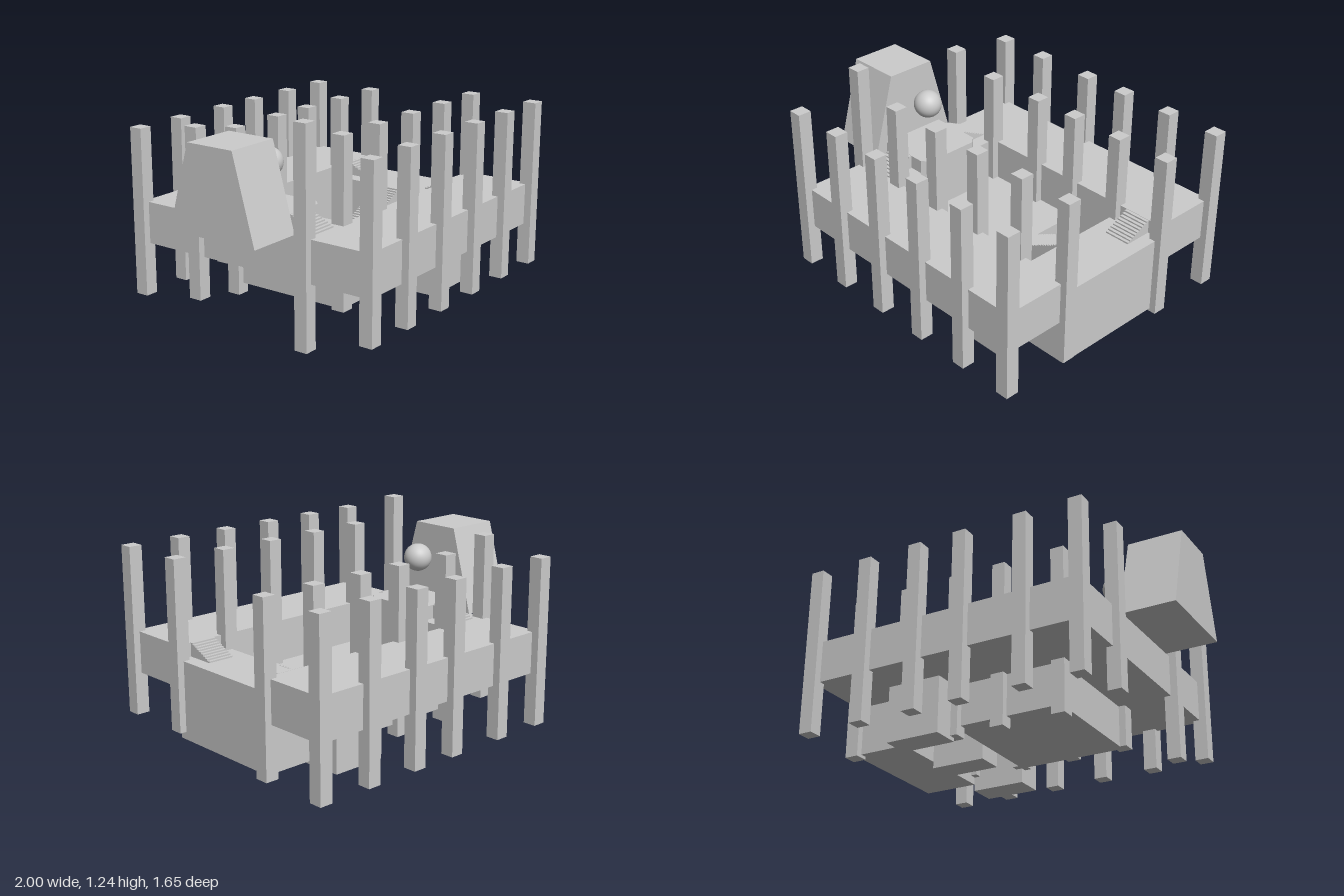
import * as THREE from 'three';

const material = new THREE.MeshStandardMaterial({ color: 0xcccccc });

export function createModel() {
  const model = new THREE.Group();

  const add = (name, geometry, parent = model) => {
    const mesh = new THREE.Mesh(geometry, material);
    mesh.name = name;
    parent.add(mesh);
    return mesh;
  };

  // Box given by its extents along each axis
  const block = (name, x0, x1, y0, y1, z0, z1, parent) =>
    add(name, new THREE.BoxGeometry(x1 - x0, y1 - y0, z1 - z0), parent)
      .position.set((x0 + x1) / 2, (y0 + y1) / 2, (z0 + z1) / 2);

  // Solid stair rising along local +x from y = low to y = high, centred across z
  const stairGeometry = (run, low, high, base, steps, width) => {
    const shape = new THREE.Shape();
    shape.moveTo(0, base);
    for (let i = 0; i < steps; i++) {
      const y = low + (high - low) * (i + 1) / steps;
      shape.lineTo(run * i / steps, y);
      shape.lineTo(run * (i + 1) / steps, y);
    }
    shape.lineTo(run, base);
    return new THREE.ExtrudeGeometry(shape, { depth: width, bevelEnabled: false })
      .translate(0, 0, -width / 2);
  };

  // Raised side decks
  block('frontDeck', -0.69, 0.957, 0.375, 0.62, 0.37, 0.78);
  block('backDeck', -0.69, 0.957, 0.375, 0.62, -0.785, -0.375);

  // Floors between the decks
  block('rightEndFloor', -0.69, -0.365, 0.375, 0.62, -0.375, 0.37);
  block('sunkenFloor', -0.365, 0.295, 0.13, 0.375, -0.375, 0.37);
  block('leftEndFloor', 0.625, 0.957, 0.085, 0.54, -0.375, 0.37);

  // Supports below the decks beside the open pits
  block('frontSupport', 0.297, 0.625, 0.045, 0.376, 0.37, 0.54);
  block('backSupport', 0.297, 0.625, 0.045, 0.376, -0.54, -0.375);

  // Stepped bridge between the pits
  add('bridgeStairs', stairGeometry(0.33, 0.375, 0.54, 0.045, 18, 0.16))
    .position.set(0.295, 0, 0);

  // Dais with two chamfered corners
  const dais = new THREE.Shape([
    [-0.69, -0.205], [-0.365, -0.205], [-0.325, -0.165],
    [-0.325, 0.165], [-0.365, 0.205], [-0.69, 0.205],
  ].map(([x, y]) => new THREE.Vector2(x, y)));
  add('dais', new THREE.ExtrudeGeometry(dais, { depth: 0.325, bevelEnabled: false })
    .rotateX(-Math.PI / 2)).position.y = 0.376;

  // Short stairs: up to the dais, and from the decks down to the left end floor
  for (const side of [1, -1]) {
    const label = side > 0 ? 'front' : 'back';
    const daisStairs = add(label + 'DaisStairs', stairGeometry(0.168, 0.62, 0.70, 0.6, 9, 0.16));
    daisStairs.position.set(-0.53, 0, side * 0.373);
    daisStairs.rotation.y = side * Math.PI / 2;

    const deckStairs = add(label + 'DeckStairs', stairGeometry(0.168, 0.54, 0.62, 0.52, 9, 0.16));
    deckStairs.position.set(0.795, 0, side * 0.205);
    deckStairs.rotation.y = -side * Math.PI / 2;
  }

  // Tapered block standing behind the dais
  const taper = new THREE.Shape([
    [-0.288, 0.62], [0.288, 0.62], [0.15, 1.115], [-0.15, 1.115],
  ].map(([x, y]) => new THREE.Vector2(x, y)));
  add('taperedBlock', new THREE.ExtrudeGeometry(taper, { depth: 0.325, bevelEnabled: false })
    .rotateY(Math.PI / 2)).position.x = -1;

  // Floating ball above the dais
  add('ball', new THREE.SphereGeometry(0.082, 32, 20)).position.set(-0.53, 0.94, 0);

  // Four rows of square pillars
  const pillars = new THREE.Group();
  pillars.name = 'pillars';
  model.add(pillars);
  for (const z of [-0.79, -0.375, 0.367, 0.783]) {
    const front = z > 0;
    for (const x of [-0.692, -0.365, front ? -0.035 : 0.007, 0.295, 0.627, 0.957]) {
      let [y0, y1] = front ? [0.13, 1.115] : [0.067, 1.052];
      if (x < -0.6 && z === 0.367) [y0, y1] = [0, 1.24];
      if (x < -0.6 && z === -0.375) [y0, y1] = [0.13, 1.115];
      block('pillar', x - 0.04, x + 0.04, y0, y1, z - 0.04, z + 0.04, pillars);
    }
  }

  return model;
}
